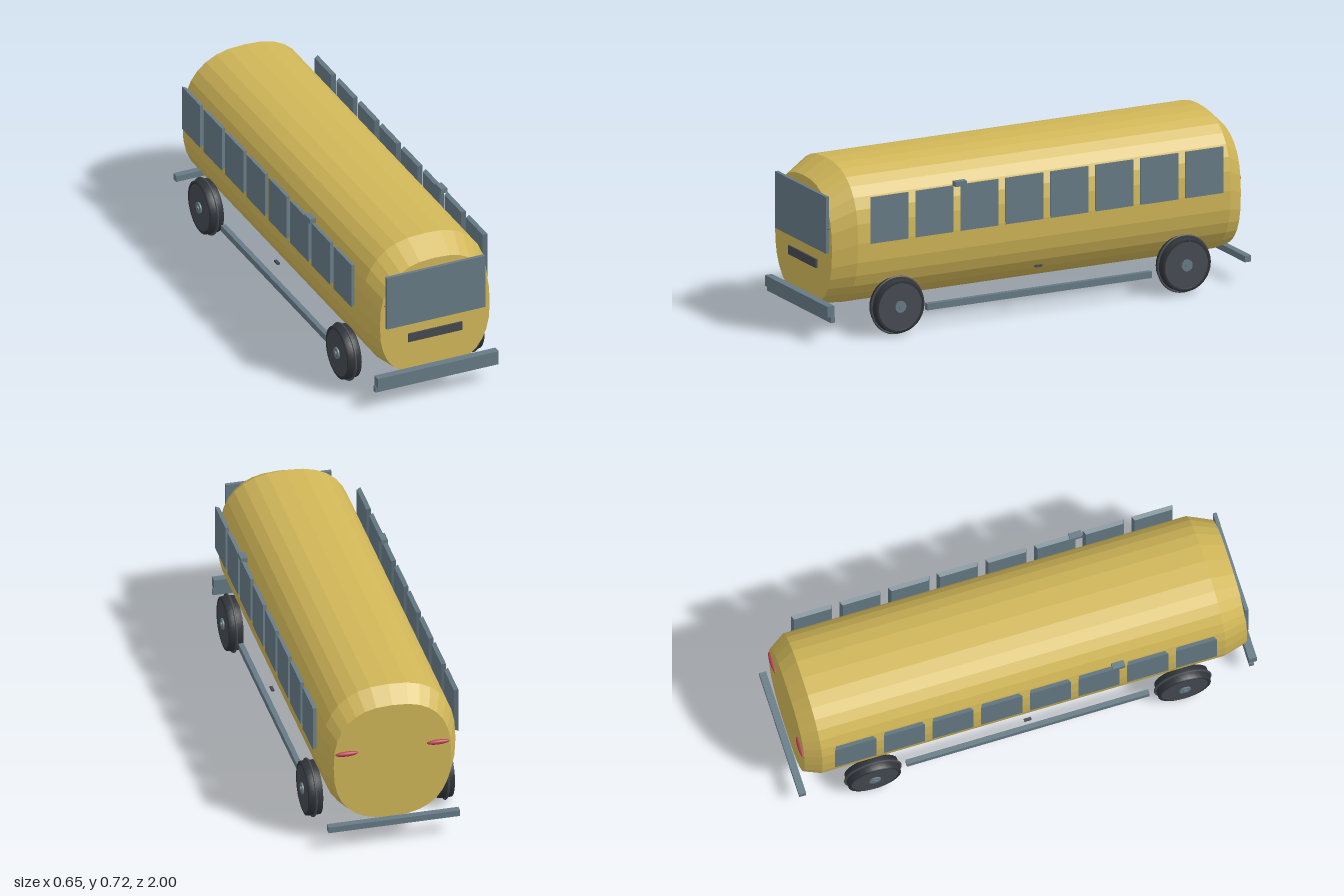
import * as THREE from 'three';

const mat = (name, color, extra = {}) => {
  const m = new THREE.MeshStandardMaterial({ color, ...extra });
  m.name = name;
  return m;
};

export function createModel() {
  const bus = new THREE.Group();
  bus.name = 'bus';
  const yellow = mat('yellowPaint', 0xd0b658, { flatShading: true });
  const slate = mat('slate', 0x667a85);
  const dark = mat('darkGrey', 0x454950);
  const rubber = mat('rubber', 0x303438);
  const red = mat('redLens', 0xb53c52);

  const add = (name, geo, material, x = 0, y = 0, z = 0, parent = bus) => {
    const mesh = new THREE.Mesh(geo, material);
    mesh.name = name;
    mesh.position.set(x, y, z);
    parent.add(mesh);
    return mesh;
  };
  // box given by its limits
  const box = (name, material, x0, x1, y0, y1, z0, z1) =>
    add(name, new THREE.BoxGeometry(Math.abs(x1 - x0), y1 - y0, z1 - z0), material,
      (x0 + x1) / 2, (y0 + y1) / 2, (z0 + z1) / 2);

  // body: rounded cross-sections joined from back to front, [z, halfWidth, centreY, halfHeight]
  add('body', bodyGeometry([
    [-0.967, 0.253, 0.39, 0.271],
    [-0.9, 0.288, 0.418, 0.307],
    [0.86, 0.288, 0.418, 0.307],
    [0.965, 0.253, 0.39, 0.271],
  ]), yellow);

  // front end
  box('windshield', slate, -0.227, 0.227, 0.378, 0.623, 0.964, 0.98);
  box('grille', dark, -0.124, 0.124, 0.289, 0.327, 0.964, 0.973);
  box('frontBumper', slate, -0.278, 0.278, 0.117, 0.163, 0.966, 1);
  box('frontBumperLip', slate, -0.283, 0.283, 0.092, 0.117, 0.966, 0.986);
  // back end
  box('rearBumper', slate, -0.283, 0.283, 0.096, 0.123, -1, -0.97);

  for (const s of [1, -1]) {
    // lamps
    add('headlight', lens(), slate, s * 0.185, 0.485, 0.967);
    add('tailLight', lens(), red, s * 0.197, 0.453, -0.969);

    // side windows, wider on the outer face
    for (let i = 0; i < 8; i++) {
      add('sideWindow', windowGeometry(s), slate, s * 0.304, 0.521, 0.725 - i * 0.2125);
    }
    box('mirror', slate, s * 0.288, s * 0.316, 0.614, 0.635, 0.36, 0.414);
    box('sideSkirt', slate, s * 0.262, s * 0.284, 0.087, 0.115, -0.53, 0.53);
    box('doorHandle', dark, s * 0.268, s * 0.28, 0.204, 0.212, -0.016, 0.016);

    // wheels
    for (const z of [0.674, -0.679]) {
      const wheel = new THREE.Group();
      wheel.name = 'wheel';
      wheel.position.set(s * 0.284, 0.13, z);
      if (s < 0) wheel.rotation.y = Math.PI;
      bus.add(wheel);
      const tyre = new THREE.LatheGeometry([
        [0, -0.034], [0.1, -0.034], [0.115, -0.03], [0.117, 0],
        [0.115, 0.028], [0.104, 0.032], [0.1, 0.027],
      ].map(p => new THREE.Vector2(...p)), 32);
      add('tyre', turn(tyre), rubber, 0, 0, 0, wheel);
      add('wheelDisc', disc(0.101, 0.03), dark, 0.014, 0, 0, wheel);
      add('hub', disc(0.025, 0.008), slate, 0.032, 0, 0, wheel);
      add('axleCap', disc(0.01, 0.01), slate, 0.036, 0, 0, wheel);
      const ring = new THREE.TorusGeometry(0.121, 0.005, 8, 40);
      add('wheelRing', ring.rotateY(Math.PI / 2), dark, 0, 0, 0, wheel);
    }
  }
  return bus;
}

// turn a shape made around y so that it points along +x
const turn = geo => geo.rotateZ(-Math.PI / 2);
const disc = (r, w) => turn(new THREE.CylinderGeometry(r, r, w, 32));
const lens = () => new THREE.SphereGeometry(1, 16, 10).scale(0.05, 0.011, 0.011);

function windowGeometry(side) {
  const g = new THREE.BoxGeometry(0.018, 0.202, 0.18);
  const p = g.attributes.position;
  for (let i = 0; i < p.count; i++) {
    if (p.getX(i) * side < 0) {
      p.setY(i, p.getY(i) * 0.95);
      p.setZ(i, p.getZ(i) * 0.9);
    }
  }
  g.computeVertexNormals();
  return g;
}

function bodyGeometry(sections) {
  const n = 32, pos = [], index = [];
  const power = v => Math.sign(v) * Math.abs(v) ** 0.8;
  for (const [z, a, cy, b] of sections) {
    for (let i = 0; i < n; i++) {
      const t = (i / n) * Math.PI * 2;
      pos.push(a * power(Math.cos(t)), cy + b * power(Math.sin(t)), z);
    }
  }
  for (let k = 0; k < sections.length - 1; k++) {
    for (let i = 0; i < n; i++) {
      const a = k * n + i, b = k * n + (i + 1) % n;
      index.push(a, b, b + n, a, b + n, a + n);
    }
  }
  // flat ends
  const last = (sections.length - 1) * n;
  for (let i = 1; i < n - 1; i++) {
    index.push(0, i + 1, i, last, last + i, last + i + 1);
  }
  const g = new THREE.BufferGeometry();
  g.setAttribute('position', new THREE.Float32BufferAttribute(pos, 3));
  g.setIndex(index);
  g.computeVertexNormals();
  return g;
}
